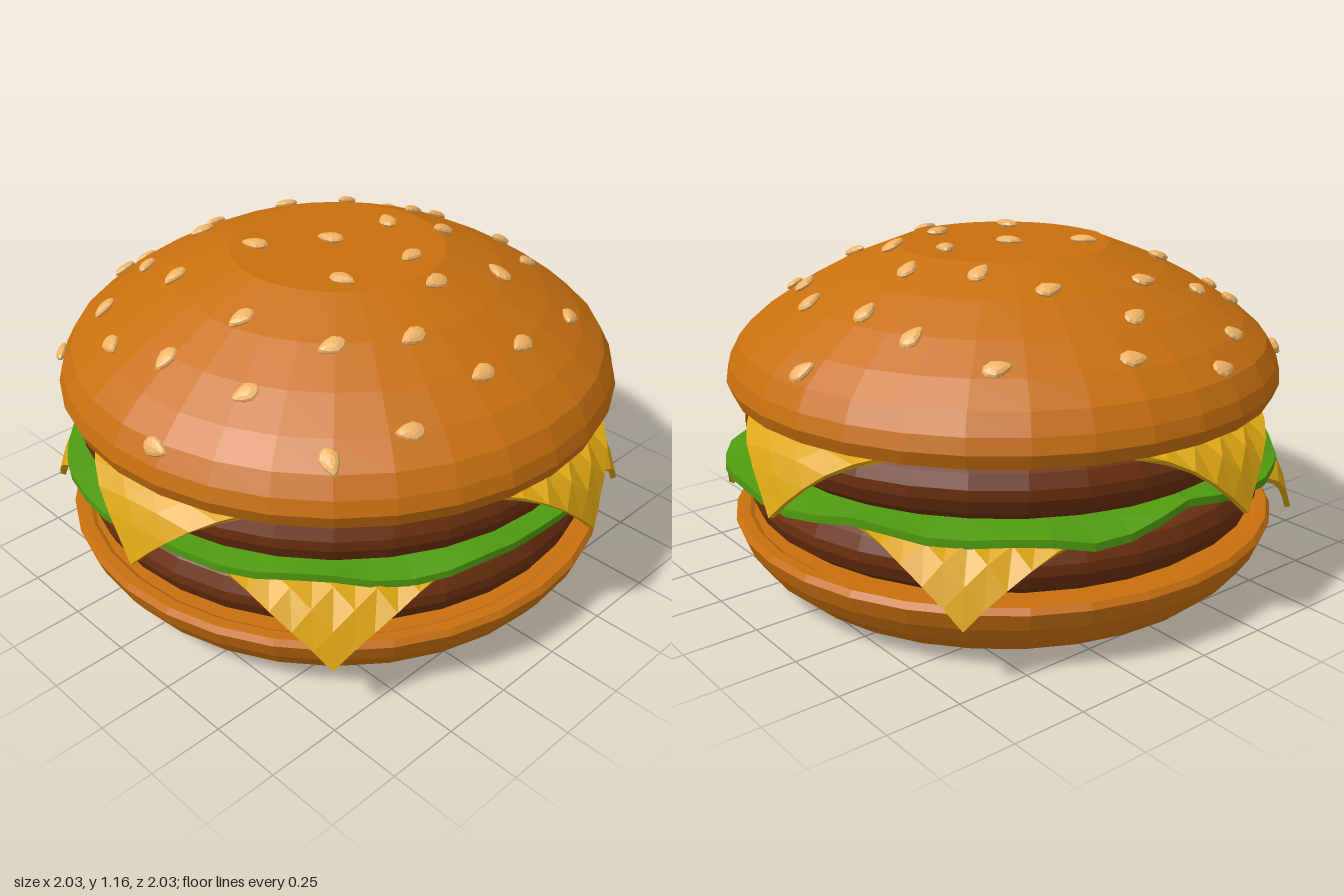
import * as THREE from 'three';

const COLORS = { bun: 0xc8700f, patty: 0x6b300f, cheese: 0xdca512, lettuce: 0x4f9a10, seed: 0xeeb264 };
const mats = {};
for (const key in COLORS) {
  mats[key] = new THREE.MeshStandardMaterial({ color: COLORS[key], flatShading: true });
}

// Faceted mesh with one normal per face
function facet(name, geometry, mat) {
  const flat = geometry.index ? geometry.toNonIndexed() : geometry;
  flat.computeVertexNormals();
  const mesh = new THREE.Mesh(flat, mat);
  mesh.name = name;
  return mesh;
}

function lathe(profile, segments) {
  return new THREE.LatheGeometry(profile.map(([r, y]) => new THREE.Vector2(r, y)), segments);
}

// Move every vertex by a rule
function warp(geometry, rule) {
  const pos = geometry.attributes.position;
  const v = new THREE.Vector3();
  for (let i = 0; i < pos.count; i++) {
    rule(v.fromBufferAttribute(pos, i));
    pos.setXYZ(i, v.x, v.y, v.z);
  }
  return geometry;
}

// Outer curve of the top bun, from rim to flat crown: [radius, height]
const DOME = [[0.948, 0.715], [0.935, 0.765], [0.9, 0.83], [0.82, 0.9], [0.7, 0.98],
  [0.55, 1.06], [0.36, 1.135], [0, 1.136]];

const TOP_BUN = [[0, 0.675], [0.87, 0.675], [0.89, 0.665], [0.93, 0.668], ...DOME];
const BOTTOM_BUN = [[0, 0], [0.745, 0], [0.82, 0.04], [0.885, 0.1], [0.925, 0.16],
  [0.948, 0.22], [0.935, 0.24], [0.9, 0.24], [0.885, 0.23], [0, 0.23]];
const PATTY = [[0, 0], [0.83, 0], [0.875, 0.035], [0.895, 0.08], [0.895, 0.115],
  [0.875, 0.16], [0.83, 0.19], [0, 0.19]];

// Square slice whose overhanging corners bend down over the patty edge
function cheeseSlice(name, y, turn) {
  const edge = 0.85, bend = 0.13, maxAngle = 1.3, thick = 0.02;
  const geo = new THREE.BoxGeometry(1.64, thick, 1.64, 18, 1, 18);
  warp(geo, v => {
    const r = Math.hypot(v.x, v.z);
    const over = r - edge;
    if (over <= 0) return;
    const a = Math.min(over / bend, maxAngle);
    const rest = over - a * bend;
    const offset = v.y;
    const reach = edge + bend * Math.sin(a) + rest * Math.cos(a) + offset * Math.sin(a);
    v.y = -bend * (1 - Math.cos(a)) - rest * Math.sin(a) + offset * Math.cos(a);
    v.x *= reach / r;
    v.z *= reach / r;
  });
  const mesh = facet(name, geo, mats.cheese);
  mesh.position.y = y;
  mesh.rotation.y = turn;
  return mesh;
}

// Leaf rim radius and height, every 22.5 degrees from +x towards +z
const RIM_R = [0.965, 0.97, 0.965, 0.93, 0.9, 0.92, 0.9, 0.91, 0.92, 0.955, 0.95, 0.96, 0.9, 0.955, 0.92, 0.93];
const RIM_Y = [0.44, 0.43, 0.38, 0.42, 0.45, 0.44, 0.45, 0.46, 0.45, 0.44, 0.42, 0.45, 0.46, 0.43, 0.44, 0.45];

function sampleLoop(list, angle) {
  const t = (angle / (2 * Math.PI) + 1) % 1 * list.length;
  const i = Math.floor(t) % list.length;
  return THREE.MathUtils.lerp(list[i], list[(i + 1) % list.length], t - Math.floor(t));
}

function lettuceLeaf() {
  const h = 0.013;
  const geo = lathe([[0, -h], [0.8, -h], [0.9, -h], [1, -h], [1, h], [0.9, h], [0.8, h], [0, h]], 48);
  warp(geo, v => {
    const u = Math.hypot(v.x, v.z);
    const angle = Math.atan2(v.z, v.x);
    const droop = Math.max(0, (u - 0.8) / 0.2);
    const rim = sampleLoop(RIM_R, angle);
    v.x *= rim;
    v.z *= rim;
    v.y += THREE.MathUtils.lerp(0.467, sampleLoop(RIM_Y, angle), droop) + 0.012 * droop * Math.sin(11 * angle);
  });
  return facet('lettuce', geo, mats.lettuce);
}

// Seeds on the bun: x, z, heading of the pointed end in degrees
const SEEDS = [
  -0.17, -0.86, 180, -0.35, -0.74, 180, 0.13, -0.78, 200, 0.01, -0.66, 160, 0.5, -0.61, 200,
  -0.73, -0.59, 130, -0.61, -0.49, 180, -0.4, -0.53, 150, -0.16, -0.52, 190, 0.19, -0.47, 190,
  0.61, -0.35, 170, -0.46, -0.29, 180, 0.31, -0.28, 160, -0.74, -0.27, 120, -0.21, -0.18, 240,
  0, -0.04, 240, 0.24, -0.01, 300, 0.43, -0.07, 160, 0.63, -0.13, 170, 0.85, -0.12, 200,
  -0.72, -0.01, 180, -0.51, 0.1, 190, -0.9, 0.16, 90, -0.19, 0.21, 80, 0.09, 0.24, 170,
  0.33, 0.16, 180, 0.66, 0.15, 180, -0.67, 0.3, 200, -0.41, 0.39, 200, 0.03, 0.4, 180,
  0.31, 0.43, 260, 0.56, 0.35, 170, -0.2, 0.52, 180, -0.63, 0.61, 120, -0.41, 0.71, 210,
  -0.1, 0.71, 180, 0.11, 0.69, 170, 0.44, 0.63, 150];

// Height and outward normal of the dome at a point
function domeAt(x, z) {
  const r = Math.hypot(x, z);
  const i = Math.max(1, DOME.findIndex(([pr]) => pr <= r));
  const [r0, y0] = DOME[i - 1], [r1, y1] = DOME[i];
  const y = y0 + (y1 - y0) * (r0 - r) / (r0 - r1);
  const slope = (y1 - y0) / (r0 - r1);
  const normal = new THREE.Vector3(x / r * slope, 1, z / r * slope).normalize();
  return { point: new THREE.Vector3(x, y, z), normal };
}

function sesameSeeds() {
  const group = new THREE.Group();
  group.name = 'sesameSeeds';
  // Flattened teardrop pointing along +x
  const geo = warp(new THREE.SphereGeometry(1, 10, 6), v => {
    const taper = 1 - 0.45 * Math.max(0, v.x + 0.2);
    v.set(v.x * 0.046, v.y * 0.015, v.z * 0.033 * taper);
  });
  for (let i = 0; i < SEEDS.length; i += 3) {
    const { point, normal } = domeAt(SEEDS[i] + 0.007, SEEDS[i + 1]);
    const a = THREE.MathUtils.degToRad(SEEDS[i + 2]);
    const side = new THREE.Vector3(Math.cos(a), 0, Math.sin(a)).cross(normal).normalize();
    const ahead = new THREE.Vector3().crossVectors(normal, side);
    const seed = facet('sesameSeed', geo, mats.seed);
    seed.quaternion.setFromRotationMatrix(new THREE.Matrix4().makeBasis(ahead, normal, side));
    seed.position.copy(point).addScaledVector(normal, 0.007);
    group.add(seed);
  }
  return group;
}

export function createModel() {
  const burger = new THREE.Group();
  burger.name = 'burger';
  const lowerPatty = facet('lowerPatty', lathe(PATTY, 32), mats.patty);
  lowerPatty.position.y = 0.235;
  const upperPatty = facet('upperPatty', lathe(PATTY, 32), mats.patty);
  upperPatty.position.y = 0.475;
  burger.add(
    facet('bottomBun', lathe(BOTTOM_BUN, 32), mats.bun),
    lowerPatty,
    cheeseSlice('lowerCheese', 0.435, 0),
    lettuceLeaf(),
    upperPatty,
    cheeseSlice('upperCheese', 0.668, THREE.MathUtils.degToRad(53)),
    facet('topBun', lathe(TOP_BUN, 32), mats.bun),
    sesameSeeds(),
  );
  burger.position.x = -0.007;
  const model = new THREE.Group();
  model.name = 'model';
  model.add(burger);
  return model;
}
